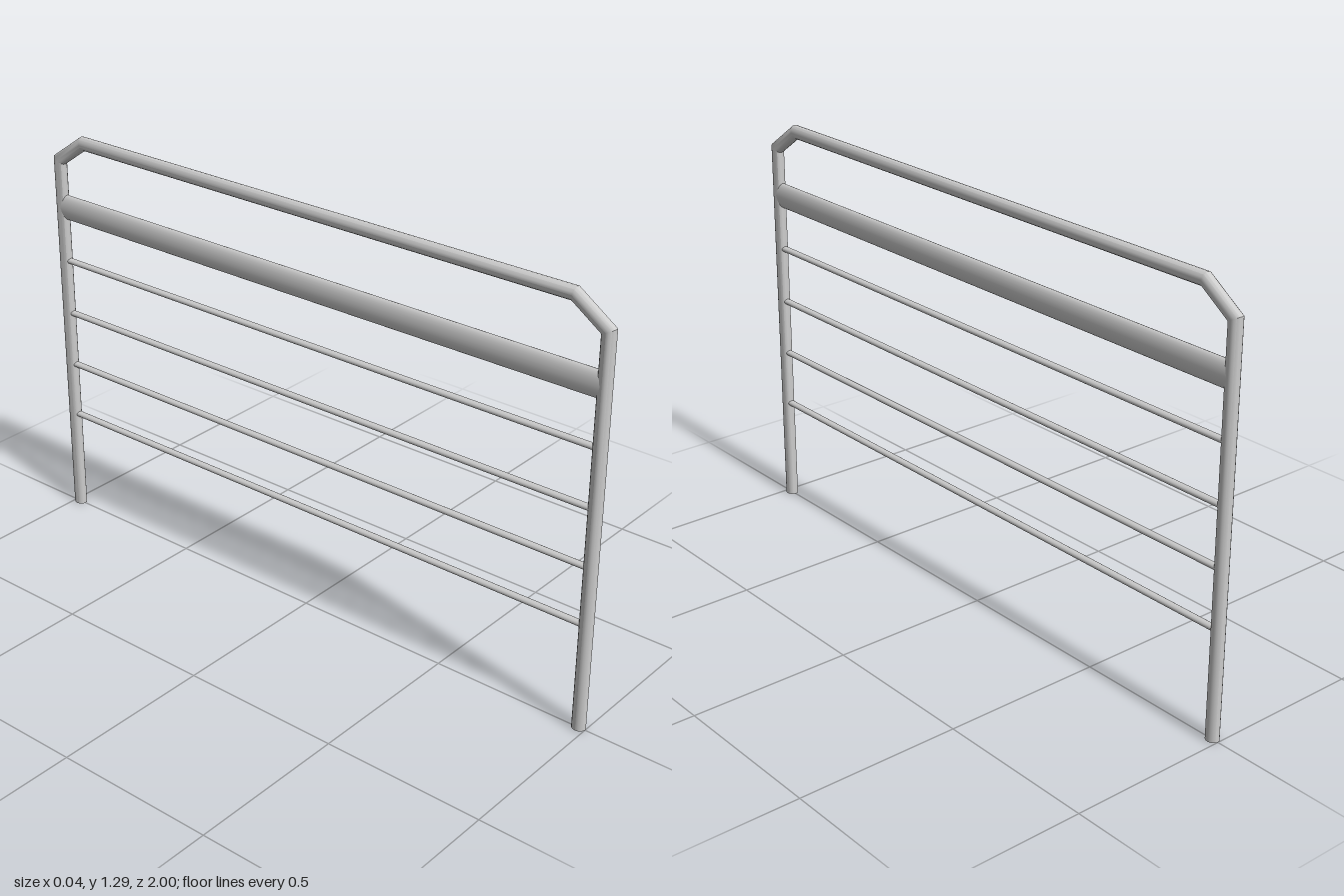
import * as THREE from 'three';
import { toCreasedNormals } from 'three/addons/utils/BufferGeometryUtils.js';

const SIDES = 16;

// Mitred oval tube along a path of [z, y] points; rIn lies in the path plane, rX across it
function mitredTube(path, rIn, rX) {
  const pts = path.map(([z, y]) => new THREE.Vector2(z, y));
  const pos = [], idx = [];
  pts.forEach((p, i) => {
    const prev = pts[Math.max(i - 1, 0)], next = pts[Math.min(i + 1, pts.length - 1)];
    const d0 = (i > 0 ? p.clone().sub(prev) : next.clone().sub(p)).normalize();
    const d1 = (i < pts.length - 1 ? next.clone().sub(p) : d0.clone()).normalize();
    const t = d0.clone().add(d1).normalize();
    const r = rIn / t.dot(d0); // widen at the mitre
    for (let j = 0; j < SIDES; j++) {
      const a = (j / SIDES) * Math.PI * 2, c = Math.cos(a) * r;
      pos.push(Math.sin(a) * rX, p.y - t.x * c, p.x + t.y * c);
    }
  });
  for (let i = 0; i < pts.length - 1; i++) {
    for (let j = 0; j < SIDES; j++) {
      const k = (j + 1) % SIDES, a = i * SIDES, b = a + SIDES;
      idx.push(a + j, a + k, b + j, a + k, b + k, b + j);
    }
  }
  // End caps
  const last = (pts.length - 1) * SIDES;
  for (let j = 1; j < SIDES - 1; j++) idx.push(0, j + 1, j, last, last + j, last + j + 1);

  const g = new THREE.BufferGeometry();
  g.setAttribute('position', new THREE.Float32BufferAttribute(pos, 3));
  g.setIndex(idx);
  return toCreasedNormals(g, 0.5);
}

export function createModel() {
  const group = new THREE.Group();
  const mat = new THREE.MeshStandardMaterial({ color: 0xcccccc });
  const add = (name, geometry, y = 0) => {
    const mesh = new THREE.Mesh(geometry, mat);
    mesh.name = name;
    mesh.position.y = y;
    group.add(mesh);
  };

  // Bent frame: both posts, chamfered corners and top rail
  const half = [[0.979, 0], [0.979, 1.197], [0.874, 1.27]];
  const path = [...half, ...half.map(([z, y]) => [-z, y]).reverse()];
  add('frame', mitredTube(path, 0.021, 0.0185));

  // Oval bar running between the posts
  const bar = (rX, rY) =>
    new THREE.CylinderGeometry(1, 1, 1.956, 24).rotateX(Math.PI / 2).scale(rX, rY, 1);

  add('wideRail', bar(0.0175, 0.04), 1.046);
  for (let i = 0; i < 4; i++) add(`thinRail${i + 1}`, bar(0.011, 0.009), 0.332 + i * 0.1785);

  return group;
}
